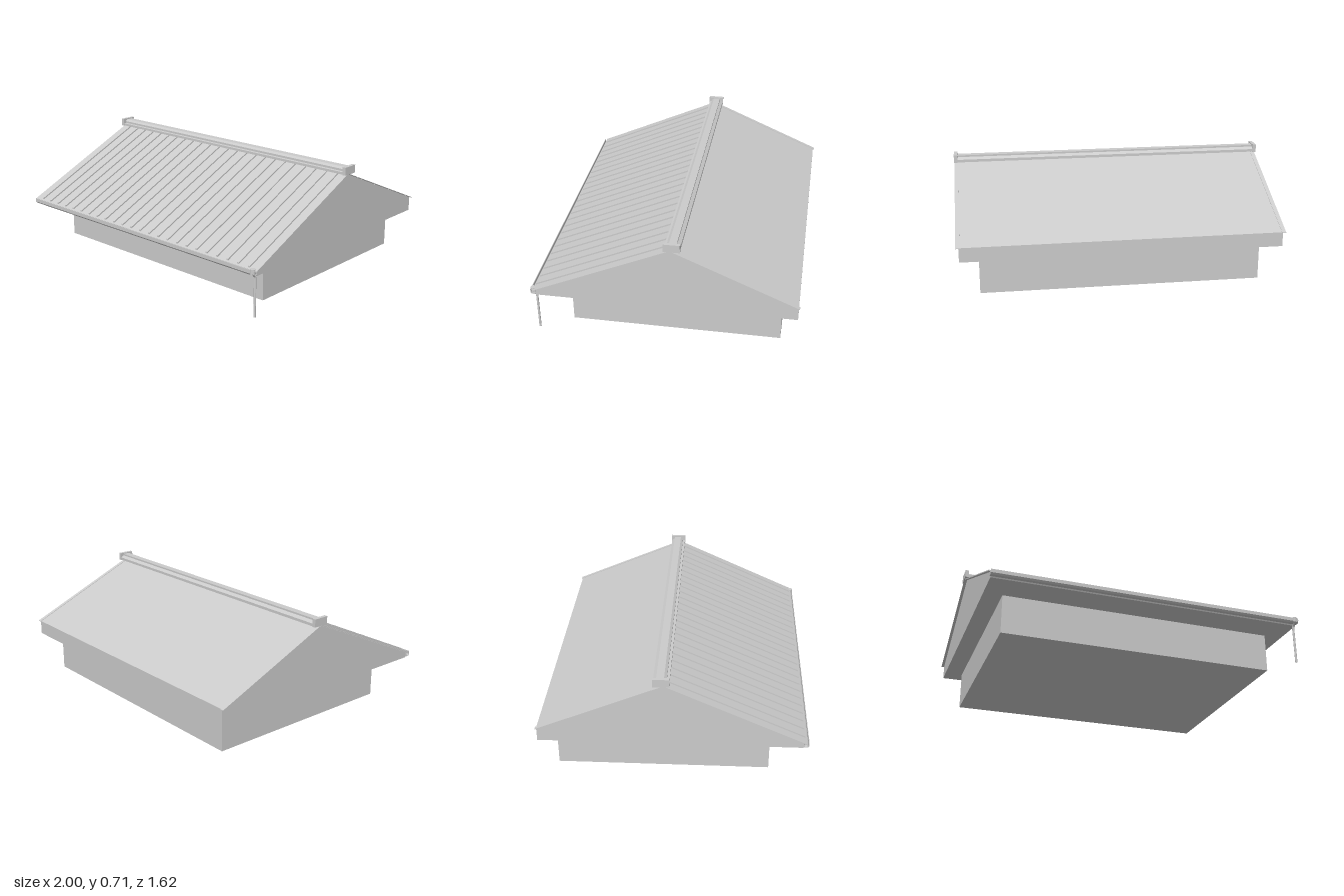
import * as THREE from 'three';

const material = new THREE.MeshStandardMaterial({ color: 0xcccccc, flatShading: true, side: THREE.DoubleSide });

function add(parent, name, geometry) {
  const mesh = new THREE.Mesh(geometry, material);
  mesh.name = name;
  parent.add(mesh);
  return mesh;
}

// Extrudes a [z, y] outline along x, from x0 to x1.
function prism(points, x0, x1) {
  const shape = new THREE.Shape(points.map(([z, y]) => new THREE.Vector2(-z, y)));
  return new THREE.ExtrudeGeometry(shape, { depth: x1 - x0, bevelEnabled: false })
    .rotateY(Math.PI / 2).translate(x0, 0, 0);
}

// Outline of a thin strip lying on a slope between two [z, y] points.
function strip([z0, y0], [z1, y1], bottom, top) {
  return [[z0, y0 + bottom], [z1, y1 + bottom], [z1, y1 + top], [z0, y0 + top]];
}

export function createModel() {
  const model = new THREE.Group();
  model.name = 'roofedBuilding';
  const ridge = [-0.056, 0.664], frontEave = [0.79, 0.283], backEave = [-0.806, 0.343];

  // Walls
  add(model, 'walls', new THREE.BoxGeometry(1.73, 0.25, 1.29)).position.set(0, 0.134, -0.062);

  // Solid roof body
  add(model, 'roofBody', prism([[0.775, 0.253], frontEave, ridge, backEave, [-0.806, 0.253]], -0.98, 0.98));

  // Front roof sheet with standing seams
  add(model, 'roofSheet', prism(strip(ridge, [0.796, 0.281], 0.001, 0.008), -0.995, 0.995));
  const seams = new THREE.Group();
  seams.name = 'standingSeams';
  model.add(seams);
  const seam = prism(strip([-0.03, 0.652], [0.786, 0.285], 0.006, 0.018), -0.006, 0.006);
  for (let i = 0; i < 24; i++) add(seams, 'seam', seam).position.x = -0.929 + i * 0.0808;

  // Verge flashings on the back slope
  for (const side of [-1, 1]) {
    add(model, 'vergeFlashing', prism(strip(ridge, [-0.813, 0.34], 0.001, 0.004), -0.0125, 0.0125))
      .position.x = side * 0.9855;
  }

  // Ridge cap: stepped cover closed by an end plate on each side
  add(model, 'ridgeCap', prism([
    [-0.015, 0.667], [-0.015, 0.682], [-0.03, 0.684], [-0.03, 0.697], [-0.045, 0.708],
    [-0.09, 0.708], [-0.09, 0.697], [-0.11, 0.684], [-0.11, 0.667],
  ], -0.98, 0.98));
  for (const side of [-1, 1]) {
    add(model, 'ridgeEndPlate', new THREE.BoxGeometry(0.022, 0.05, 0.1))
      .position.set(side * 0.989, 0.69, -0.062);
  }

  // Open gutter along the front eave
  add(model, 'gutter', prism([
    [0.777, 0.29], [0.777, 0.26], [0.8, 0.26], [0.808, 0.27], [0.808, 0.292],
    [0.804, 0.292], [0.804, 0.272], [0.798, 0.264], [0.781, 0.264], [0.781, 0.29],
  ], -0.985, 0.985));

  // Outlet and downpipe at the left end
  add(model, 'gutterOutlet', new THREE.CylinderGeometry(0.016, 0.016, 0.032, 16))
    .position.set(0.965, 0.281, 0.795);
  const path = new THREE.CurvePath();
  const points = [[0.795, 0.27], [0.79, 0.255], [0.774, 0.235], [0.774, 0]]
    .map(([z, y]) => new THREE.Vector3(0.965, y, z));
  path.add(new THREE.CubicBezierCurve3(points[0], points[1], new THREE.Vector3(0.965, 0.255, 0.774), points[2]));
  path.add(new THREE.LineCurve3(points[2], points[3]));
  add(model, 'downpipe', new THREE.TubeGeometry(path, 40, 0.007, 10));

  return model;
}
